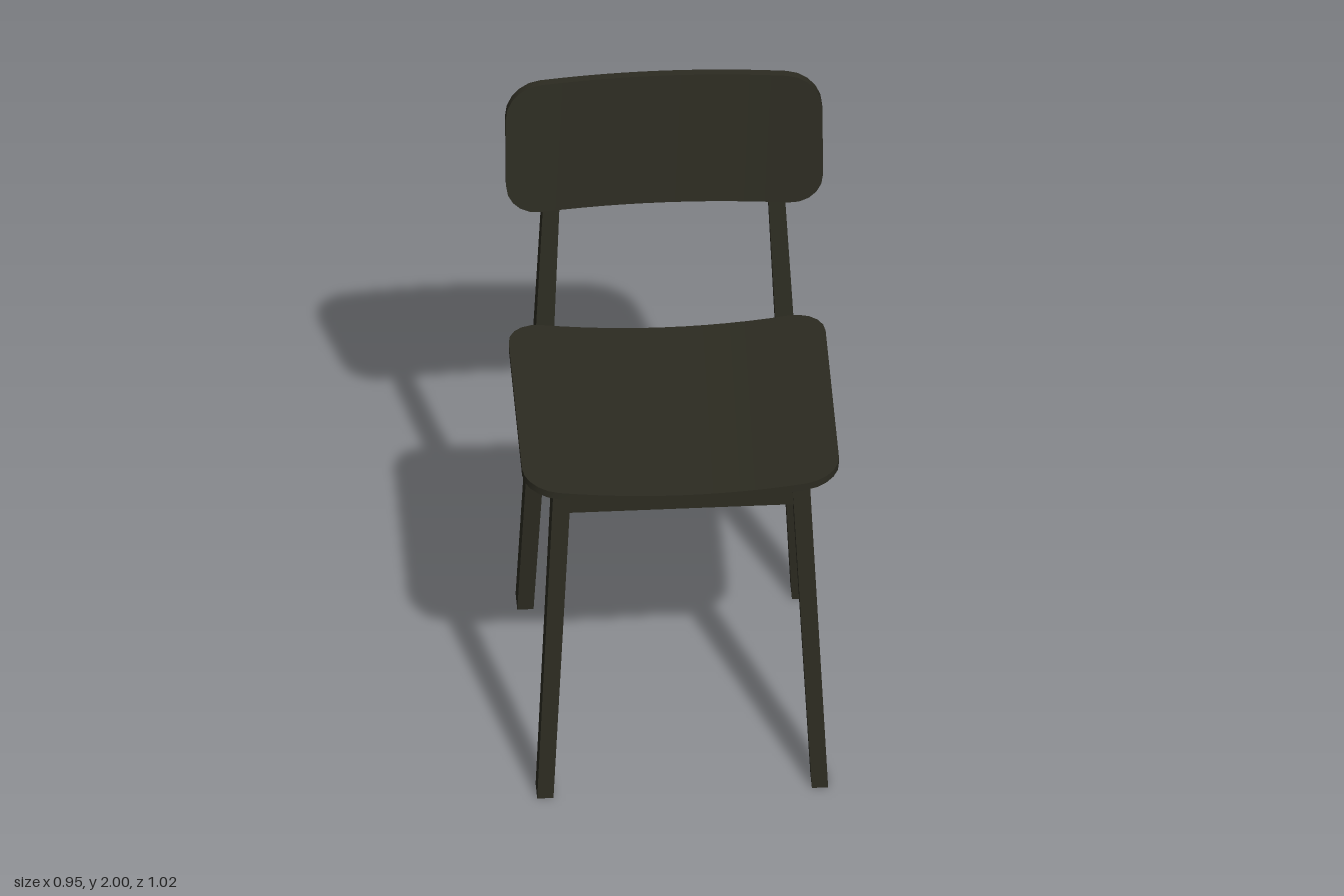
import * as THREE from 'three';

const wood = new THREE.MeshStandardMaterial({ color: 0x2c2b21 });
wood.name = 'dark stained wood';

function geometryFrom(positions, index) {
  const g = new THREE.BufferGeometry();
  g.setAttribute('position', new THREE.Float32BufferAttribute(positions, 3));
  if (index) g.setIndex(index);
  g.computeVertexNormals();
  return g;
}

// Rounded rectangle plate, bent by place(x, v, s); s = 1 is the outer face, s = 0 the inner one
function bentPlate(halfW, halfH, r, place) {
  const columns = [];
  const corner = 5, mid = 12;
  for (let i = 0; i <= corner; i++) {
    const a = (i / corner) * Math.PI / 2;
    columns.push([-halfW + r - r * Math.cos(a), halfH - r + r * Math.sin(a)]);
  }
  for (let i = 1; i < mid; i++) columns.push([(halfW - r) * (2 * i / mid - 1), halfH]);
  for (let i = corner; i >= 0; i--) columns.push([-columns[i][0], columns[i][1]]);

  const positions = [], index = [];
  // outer face, upper rim, inner face, lower rim
  for (const [va, sa, vb, sb] of [[-1, 1, 1, 1], [1, 1, 1, 0], [1, 0, -1, 0], [-1, 0, -1, 1]]) {
    const start = positions.length / 3;
    columns.forEach(([x, h], i) => {
      positions.push(...place(x, va * h, sa), ...place(x, vb * h, sb));
      if (i === 0) return;
      const a = start + 2 * (i - 1);
      index.push(a, a + 2, a + 3, a, a + 3, a + 1);
    });
  }
  // end caps
  for (const side of [1, -1]) {
    const start = positions.length / 3, h = halfH - r, x = side * halfW;
    for (const [v, s] of [[-h, 1], [-h, 0], [h, 0], [h, 1]]) positions.push(...place(x, v, s));
    const q = side > 0 ? [0, 1, 2, 0, 2, 3] : [0, 2, 1, 0, 3, 2];
    index.push(...q.map((k) => start + k));
  }
  return geometryFrom(positions, index);
}

// Square-edged post through sections [y, xMin, xMax, zMin, zMax], from bottom to top
function post(sections) {
  const rings = sections.map(([y, x0, x1, z0, z1]) =>
    [[x0, y, z1], [x1, y, z1], [x1, y, z0], [x0, y, z0]]);
  const positions = [];
  const quad = (a, b, c, d) => positions.push(...a, ...b, ...c, ...a, ...c, ...d);
  for (let i = 1; i < rings.length; i++) {
    const lo = rings[i - 1], hi = rings[i];
    for (let k = 0; k < 4; k++) {
      const n = (k + 1) % 4;
      quad(lo[k], lo[n], hi[n], hi[k]);
    }
  }
  const [b, t] = [rings[0], rings[rings.length - 1]];
  quad(b[3], b[2], b[1], b[0]);
  quad(t[0], t[1], t[2], t[3]);
  return geometryFrom(positions);
}

const mirror = (sections) => sections.map(([y, x0, x1, z0, z1]) => [y, -x1, -x0, z0, z1]);

export function createModel() {
  const chair = new THREE.Group();
  chair.name = 'chair';
  const add = (name, geometry) => {
    const mesh = new THREE.Mesh(geometry, wood);
    mesh.name = name;
    chair.add(mesh);
  };

  // Seat, dished from side to side
  add('seat', bentPlate(0.477, 0.418, 0.105, (x, v, s) =>
    [x, 1.1 + 0.19 * x * x + 0.024 * s, 0.093 - v]));

  // Backrest, wrapped forward at its ends and leaning back
  add('backrest', bentPlate(0.477, 0.22, 0.105, (x, v, s) =>
    [x, 1.78 + v, -0.397 - 0.114 * v + 0.18 * x * x - 0.025 * (1 - s)]));

  // Legs and side rails, mirrored
  const pairs = {
    FrontLeg: [[0, 0.389, 0.438, 0.435, 0.51], [1.12, 0.333, 0.386, 0.37, 0.457]],
    BackLeg: [
      [0, 0.389, 0.438, -0.51, -0.43],
      [1.13, 0.333, 0.388, -0.417, -0.333],
      [1.9, 0.3, 0.346, -0.45, -0.403],
    ],
    SideRail: [[1.02, 0.338, 0.375, -0.36, 0.4], [1.125, 0.338, 0.375, -0.36, 0.4]],
  };
  for (const [name, sections] of Object.entries(pairs)) {
    add('left' + name, post(sections));
    add('right' + name, post(mirror(sections)));
  }

  // Cross rails
  add('frontRail', post([[1.02, -0.345, 0.345, 0.4, 0.44], [1.12, -0.345, 0.345, 0.4, 0.44]]));
  add('backRail', post([[0.98, -0.345, 0.345, -0.4, -0.36], [1.06, -0.345, 0.345, -0.4, -0.36]]));

  return chair;
}
